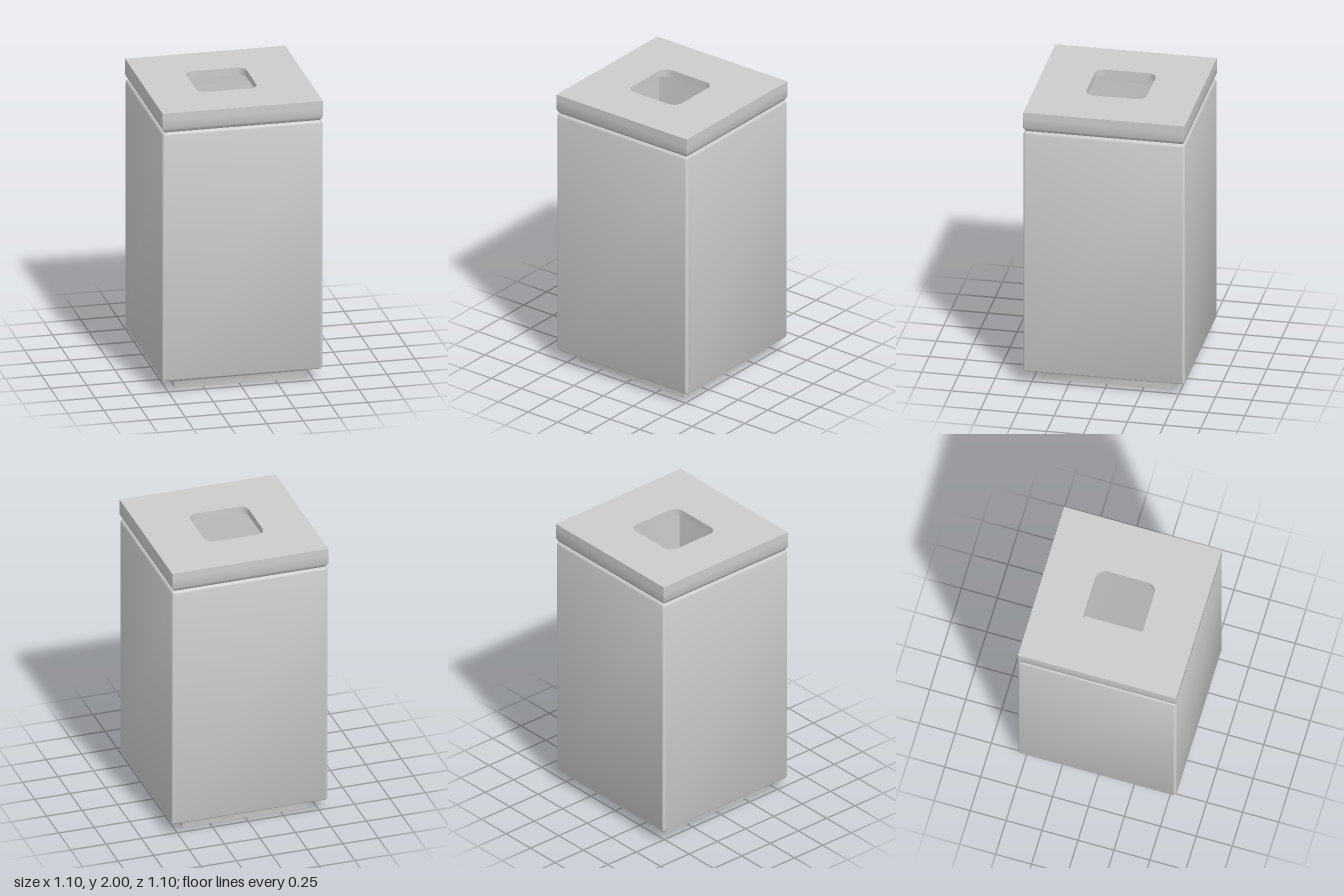
import * as THREE from 'three';
import { toCreasedNormals } from 'three/addons/utils/BufferGeometryUtils.js';

const material = new THREE.MeshStandardMaterial({ color: 0xcccccc });

// Square outline (counter-clockwise from above) with rounded corners
function squareRing(half, radius, y, steps = 4) {
  const ring = [];
  const r = Math.min(radius, half);
  for (let corner = 0; corner < 4; corner++) {
    const mid = (corner + 0.5) * Math.PI / 2;
    const cx = Math.sign(Math.cos(mid)) * (half - r);
    const cz = Math.sign(Math.sin(mid)) * (half - r);
    for (let s = 0; s <= steps; s++) {
      const a = (corner + s / steps) * Math.PI / 2;
      ring.push([cx + r * Math.cos(a), y, -cz - r * Math.sin(a)]);
    }
  }
  return ring;
}

// Skin a profile of [half width, height, corner radius] rows
function squareLoft(profile, crease) {
  const rings = profile.map(([half, y, r]) => squareRing(half, r, y));
  const n = rings[0].length;
  const index = [];
  for (let j = 0; j < rings.length - 1; j++) {
    for (let i = 0; i < n; i++) {
      const a = j * n + i, b = j * n + (i + 1) % n;
      index.push(a, b, b + n, a, b + n, a + n);
    }
  }
  const geometry = new THREE.BufferGeometry();
  geometry.setAttribute('position', new THREE.Float32BufferAttribute(rings.flat(2), 3));
  geometry.setIndex(index);
  return toCreasedNormals(geometry, crease);
}

function addPart(group, name, geometry) {
  const mesh = new THREE.Mesh(geometry, material);
  mesh.name = name;
  group.add(mesh);
  return mesh;
}

// Flat plate with a rounded square opening
function platePlan(half, cx, cy, w, h, r) {
  const shape = new THREE.Shape([
    new THREE.Vector2(-half, -half), new THREE.Vector2(half, -half),
    new THREE.Vector2(half, half), new THREE.Vector2(-half, half),
  ]);
  const hole = new THREE.Path();
  const x = w / 2 - r, y = h / 2 - r;
  hole.absarc(cx + x, cy + y, r, 0, Math.PI / 2);
  hole.absarc(cx - x, cy + y, r, Math.PI / 2, Math.PI);
  hole.absarc(cx - x, cy - y, r, Math.PI, Math.PI * 1.5);
  hole.absarc(cx + x, cy - y, r, Math.PI * 1.5, Math.PI * 2);
  hole.closePath();
  shape.holes.push(hole);
  return shape;
}

export function createModel() {
  const bin = new THREE.Group();
  bin.name = 'litterBin';

  // Hollow body: recessed foot, sloped underside, walls, rim, inner cavity
  addPart(bin, 'body', squareLoft([
    [0, 0, 0], [0.443, 0, 0.003],
    [0.447, 0.04, 0.003], [0.45, 0.056, 0.004], [0.462, 0.065, 0.006],
    [0.542, 0.094, 0.018], [0.55, 0.103, 0.02],
    [0.55, 1.84, 0.02], [0.546, 1.852, 0.02], [0.535, 1.86, 0.02],
    [0.5, 1.86, 0.004], [0.5, 0.12, 0.004], [0, 0.12, 0],
  ], 0.75));

  // Lid: outer rim with tucked lower edge and a skirt that drops into the body
  const lid = new THREE.Group();
  lid.name = 'lid';
  bin.add(lid);
  addPart(lid, 'lidRim', squareLoft([
    [0.47, 1.95, 0.002], [0.47, 1.8, 0.002], [0.49, 1.8, 0.002],
    [0.49, 1.861, 0.002], [0.534, 1.861, 0.002],
    [0.541, 1.872, 0.002], [0.55, 1.89, 0.002], [0.55, 1.95, 0.002],
  ], 0.75));

  // Top plate with the drop opening, slightly off centre
  const plate = new THREE.ExtrudeGeometry(
    platePlan(0.55, -0.017, 0.003, 0.414, 0.412, 0.065),
    { depth: 0.05, bevelEnabled: false, curveSegments: 6 });
  plate.rotateX(-Math.PI / 2);
  plate.translate(0, 1.95, 0);
  addPart(lid, 'lidPlate', toCreasedNormals(plate, 0.75));

  return bin;
}
